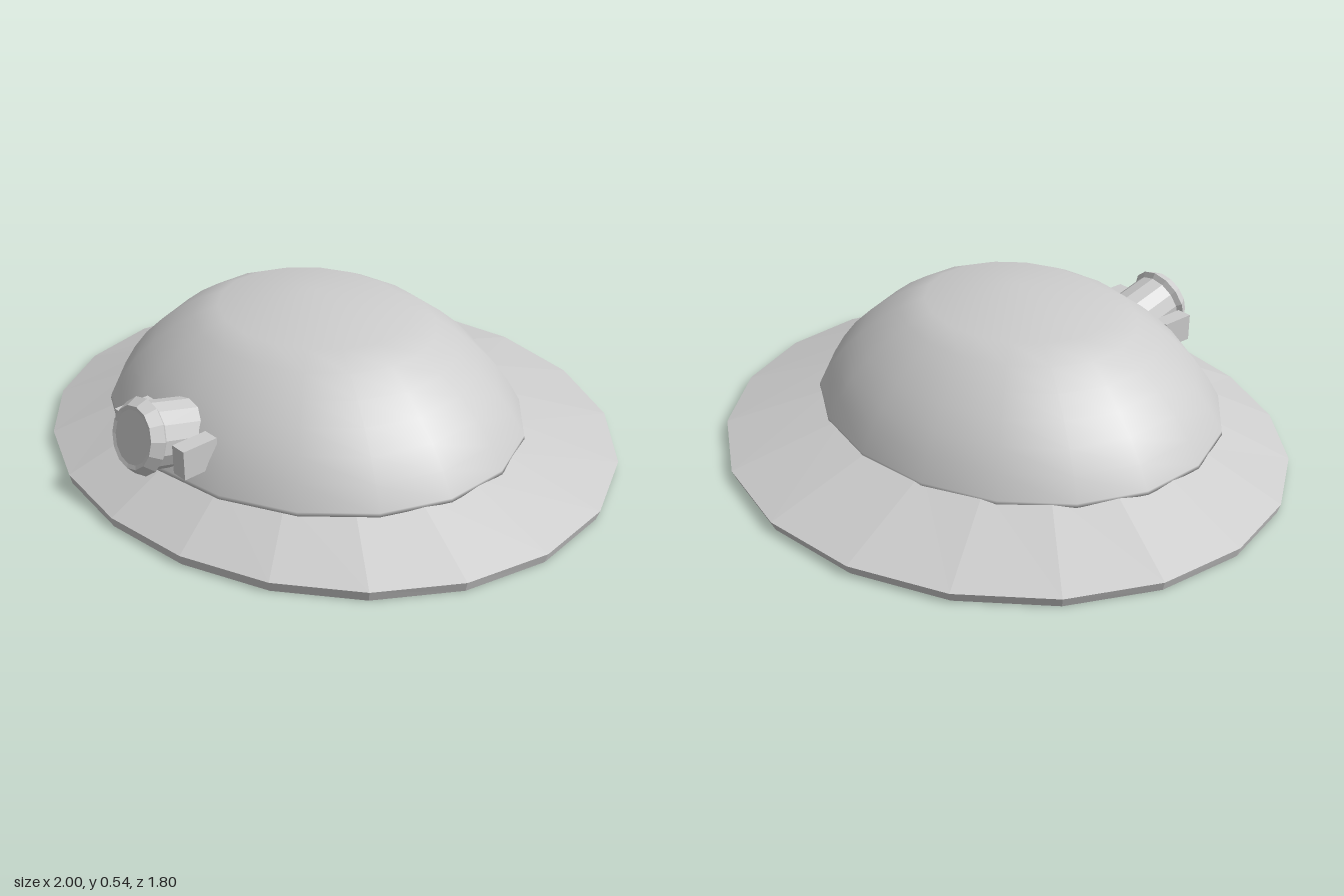
import * as THREE from 'three';

const grey = new THREE.MeshStandardMaterial({ color: 0xcccccc, side: THREE.DoubleSide });
grey.name = 'plain grey';

const DOME_Z = 0.083;      // dome centre
const DOME_LENGTH = 0.87;  // dome depth relative to its width

function lathe(points, sides) {
  return new THREE.LatheGeometry(points.map(([r, y]) => new THREE.Vector2(r, y)), sides);
}

function faceted(geometry) {
  const flat = geometry.toNonIndexed();
  flat.computeVertexNormals();
  return flat;
}

function part(name, geometry) {
  const mesh = new THREE.Mesh(geometry, grey);
  mesh.name = name;
  return mesh;
}

// Oval lathe shared by the crown, its lining and the inner band
function oval(points) {
  const geo = lathe(points, 18);
  const { position, normal } = geo.attributes;
  for (let i = 0; i < position.count; i++) {
    const atPole = Math.hypot(position.getX(i), position.getZ(i)) < 1e-4;
    if (atPole) normal.setXYZ(i, 0, 1, 0);
  }
  geo.scale(1, 1, DOME_LENGTH);
  geo.translate(0, 0, DOME_Z);
  return geo;
}

// Thin sloping brim, wider and longer toward the back
function brimGeometry() {
  const inner = 0.69;
  const geo = lathe([[inner, 0.108], [0.99, 0], [1, 0.033], [inner, 0.146], [inner, 0.108]], 20);
  const pos = geo.attributes.position;
  for (let i = 0; i < pos.count; i++) {
    const x = pos.getX(i), z = pos.getZ(i);
    const r = Math.hypot(x, z), c = z / r;
    const t = (r - inner) / (1 - inner);
    pos.setX(i, x * (1 - 0.06 * t * c));
    pos.setZ(i, 0.08 + z * (0.86 + t * (0.04 - 0.08 * c)));
  }
  return faceted(geo);
}

export function createModel() {
  const model = new THREE.Group();
  model.name = 'helmet';

  model.add(part('brim', brimGeometry()));

  // Smooth crown with a rolled lower edge
  model.add(part('crown', oval([
    [0.69, 0.118], [0.738, 0.128], [0.736, 0.14], [0.692, 0.21], [0.64, 0.275], [0.575, 0.335],
    [0.505, 0.388], [0.425, 0.437], [0.335, 0.476], [0, 0.535],
  ])));

  // Smooth lining and faceted band inside the crown
  model.add(part('lining', oval([
    [0.63, 0.185], [0.592, 0.25], [0.535, 0.31], [0.47, 0.355],
    [0.395, 0.4], [0.31, 0.435], [0, 0.49],
  ])));
  model.add(part('innerBand', faceted(oval([[0.655, 0.1], [0.63, 0.185]]))));

  // Headlamp tilted upward, with a flared bezel
  const lamp = new THREE.Group();
  lamp.name = 'headlamp';
  lamp.position.set(0, 0.2755, 0.807);
  lamp.rotation.x = THREE.MathUtils.degToRad(75);
  lamp.add(part('lampBody', faceted(lathe([[0, -0.197], [0.105, -0.197], [0.105, -0.05]], 14))));
  lamp.add(part('lampBezel', faceted(lathe(
    [[0.105, -0.05], [0.12, -0.035], [0.097, 0], [0.084, -0.003]], 14))));
  const lens = new THREE.CircleGeometry(0.084, 14);
  lens.rotateX(-Math.PI / 2);
  lens.rotateY(Math.PI / 2);
  lens.translate(0, -0.003, 0);
  lamp.add(part('lampLens', lens));
  model.add(lamp);

  // Lamp mounting blocks
  for (const side of [1, -1]) {
    const block = part(side > 0 ? 'leftMount' : 'rightMount', new THREE.BoxGeometry(0.055, 0.095, 0.122));
    block.position.set(side * 0.1475, 0.23, 0.686);
    model.add(block);
  }
  return model;
}
